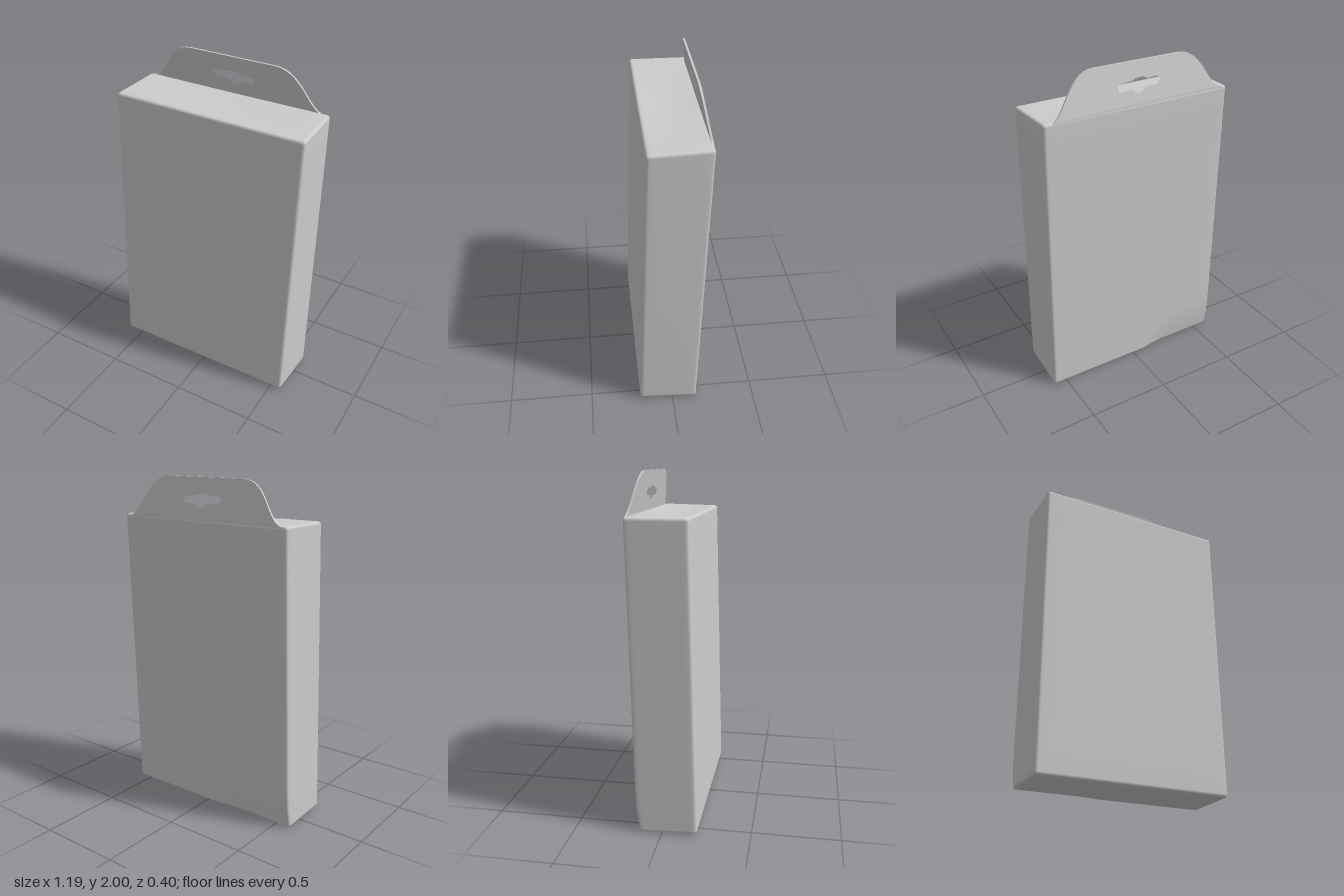
import * as THREE from 'three';
import { mergeVertices } from 'three/addons/utils/BufferGeometryUtils.js';

const cardboard = new THREE.MeshStandardMaterial({ color: 0xcccccc });
cardboard.name = 'grey cardboard';

const { lerp, smoothstep } = THREE.MathUtils;
const R = 0.018; // edge rounding
const H = 1.77; // carton height

// Pack the outer fifth of the grid into the rounded edge
function pack(u, half) {
  const a = Math.abs(u);
  const d = a <= 0.8 ? (a / 0.8) * (half - R) : half - R + ((a - 0.8) / 0.2) * R;
  return Math.sign(u) * d;
}

// Carton: rounded box, leaning back and twisted slightly
function cartonGeometry() {
  let g = new THREE.BoxGeometry(2, 2, 2, 20, 20, 20);
  g.deleteAttribute('uv');
  g.deleteAttribute('normal');
  g = mergeVertices(g);
  const half = new THREE.Vector3(0.586, H / 2, 0.174);
  const inset = half.clone().subScalar(R);
  const p = new THREE.Vector3(), core = new THREE.Vector3();
  const pos = g.attributes.position;
  for (let i = 0; i < pos.count; i++) {
    p.fromBufferAttribute(pos, i);
    p.set(pack(p.x, half.x), pack(p.y, half.y), pack(p.z, half.z));
    core.copy(p).clamp(inset.clone().negate(), inset);
    p.sub(core).setLength(R).add(core);

    const t = p.y / H + 0.5; // 0 bottom, 1 top
    const f = p.z / (2 * half.z) + 0.5; // 0 back, 1 front
    const s = p.x / (2 * half.x) + 0.5; // 0 at -x, 1 at +x
    const left = lerp(-0.598, lerp(-0.577, -0.582, f), t);
    const right = lerp(lerp(0.582, 0.573, f), lerp(0.586, 0.593, f), t);
    const x = lerp(left, right, s);
    let y = p.y + H / 2;
    let z = p.z + lerp(0.027, -0.028, t);
    y += (1 - t) * (0.003 + 0.014 * f) - 0.008 * t * f * s;
    // soft dip across the top
    const mid = Math.max(0, 1 - Math.abs(x - 0.05) / 0.5);
    y -= 0.012 * mid * Math.sin(Math.PI * f) * smoothstep(t, 0.97, 1);
    // crushed lower edge at the back
    const crush = smoothstep(-x, 0.08, 0.2) * (1 - smoothstep(t, 0, 0.1));
    z += 0.02 * crush * (1 - f);
    pos.setXYZ(i, x, y, z);
  }
  g.computeVertexNormals();
  return g;
}

// Hanger tab: thin plate with a slot, leaning forward from the back edge
function tabGeometry() {
  const v = (pts) => pts.map(([x, y]) => new THREE.Vector2(x, y));
  const outline = new THREE.Shape();
  outline.moveTo(-0.55, 1.75);
  outline.lineTo(-0.55, 1.765);
  outline.bezierCurveTo(-0.44, 1.78, -0.43, 1.995, -0.27, 2);
  outline.lineTo(0.27, 2);
  outline.bezierCurveTo(0.42, 1.995, 0.45, 1.8, 0.53, 1.765);
  outline.lineTo(0.53, 1.75);
  outline.closePath();
  outline.holes.push(new THREE.Path(v([
    [-0.13, 1.88], [-0.115, 1.902], [-0.05, 1.898], [-0.025, 1.912], [0.02, 1.91], [0.045, 1.9],
    [0.135, 1.892], [0.13, 1.852], [0.05, 1.855], [0.025, 1.833], [0, 1.828], [-0.035, 1.856], [-0.11, 1.858],
  ])));
  const g = new THREE.ExtrudeGeometry(outline, { depth: 0.012, bevelEnabled: false, curveSegments: 16 });
  const pos = g.attributes.position;
  for (let i = 0; i < pos.count; i++) {
    const rise = Math.max(0, pos.getY(i) - H) / (2 - H);
    pos.setZ(i, pos.getZ(i) - 0.2 + 0.043 * rise);
  }
  g.computeVertexNormals();
  return g;
}

export function createModel() {
  const group = new THREE.Group();
  group.name = 'hangingCarton';
  const add = (name, geometry) => {
    const mesh = new THREE.Mesh(geometry, cardboard);
    mesh.name = name;
    group.add(mesh);
  };
  add('carton', cartonGeometry());
  add('hangerTab', tabGeometry());
  return group;
}
